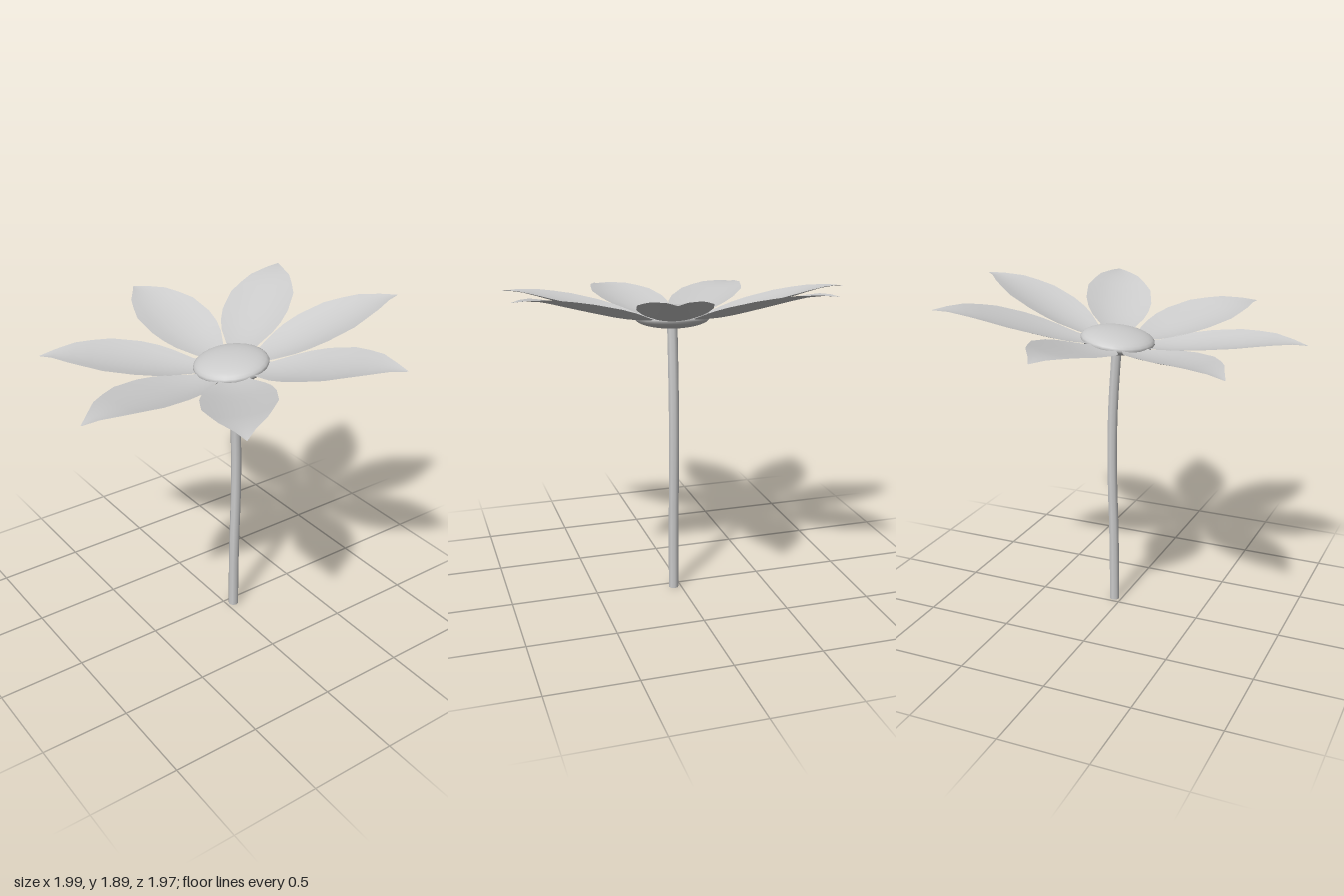
import * as THREE from 'three';

const grey = new THREE.MeshStandardMaterial({ color: 0xcccccc });
const thinGrey = new THREE.MeshStandardMaterial({ color: 0xcccccc, side: THREE.DoubleSide });

// Petal cross-sections from base to tip: distance from centre, half width, height, cupping
const PETAL = [
  [0.12, 0.05, 0.0, 0.0],
  [0.21, 0.09, -0.005, 0.01],
  [0.32, 0.15, 0.01, 0.025],
  [0.4, 0.178, 0.025, 0.033],
  [0.5, 0.195, 0.048, 0.035],
  [0.66, 0.19, 0.087, 0.03],
  [0.76, 0.155, 0.112, 0.022],
  [0.85, 0.118, 0.132, 0.014],
  [0.95, 0.05, 0.143, 0.005],
  [1.03, 0.002, 0.14, 0.0],
];

// Petal tips (x, z) relative to the flower centre
const TIPS = [
  [0.03, -1.03], [0.82, -0.62], [0.98, 0.26], [0.41, 0.94],
  [-0.53, 0.88], [-1.02, 0.2], [-0.82, -0.63],
];

function petalGeometry() {
  const columns = 6;
  const geo = new THREE.PlaneGeometry(1, 1, columns, PETAL.length - 1);
  const pos = geo.attributes.position;
  for (let i = 0; i < pos.count; i++) {
    const [r, w, h, cup] = PETAL[Math.floor(i / (columns + 1))];
    const v = ((i % (columns + 1)) / columns) * 2 - 1;
    pos.setXYZ(i, v * w, h + cup * v * v, r);
  }
  geo.computeVertexNormals();
  return geo;
}

export function createModel() {
  const model = new THREE.Group();
  model.name = 'flower';

  // Gently bowed stem with a closed foot
  const path = new THREE.CatmullRomCurve3(
    [[0.044, 0], [0.046, 0.4], [0.057, 0.85], [0.052, 1.2], [0.026, 1.6]]
      .map(([x, y]) => new THREE.Vector3(x, y, 0.043)));
  const stem = new THREE.Mesh(new THREE.TubeGeometry(path, 12, 0.03, 8), grey);
  stem.name = 'stem';
  const foot = new THREE.Mesh(new THREE.CircleGeometry(0.03, 8), grey);
  foot.name = 'stemFoot';
  foot.rotation.x = Math.PI / 2;
  foot.position.set(0.044, 0.001, 0.043);
  model.add(stem, foot);

  // Flower head leaning to one side
  const head = new THREE.Group();
  head.name = 'flowerHead';
  head.position.set(0.02, 1.63, 0.04);
  head.rotation.set(-0.02, 0, 0.12);
  model.add(head);

  // Flattened round centre
  const centre = new THREE.Mesh(new THREE.SphereGeometry(0.21, 24, 16), grey);
  centre.name = 'flowerCentre';
  centre.scale.y = 0.29;
  head.add(centre);

  // Ring of cupped petals
  const geo = petalGeometry();
  TIPS.forEach(([x, z], i) => {
    const petal = new THREE.Mesh(geo, thinGrey);
    petal.name = `petal${i + 1}`;
    petal.rotation.y = Math.atan2(x, z);
    petal.scale.z = Math.hypot(x, z) / 1.03;
    head.add(petal);
  });

  return model;
}
